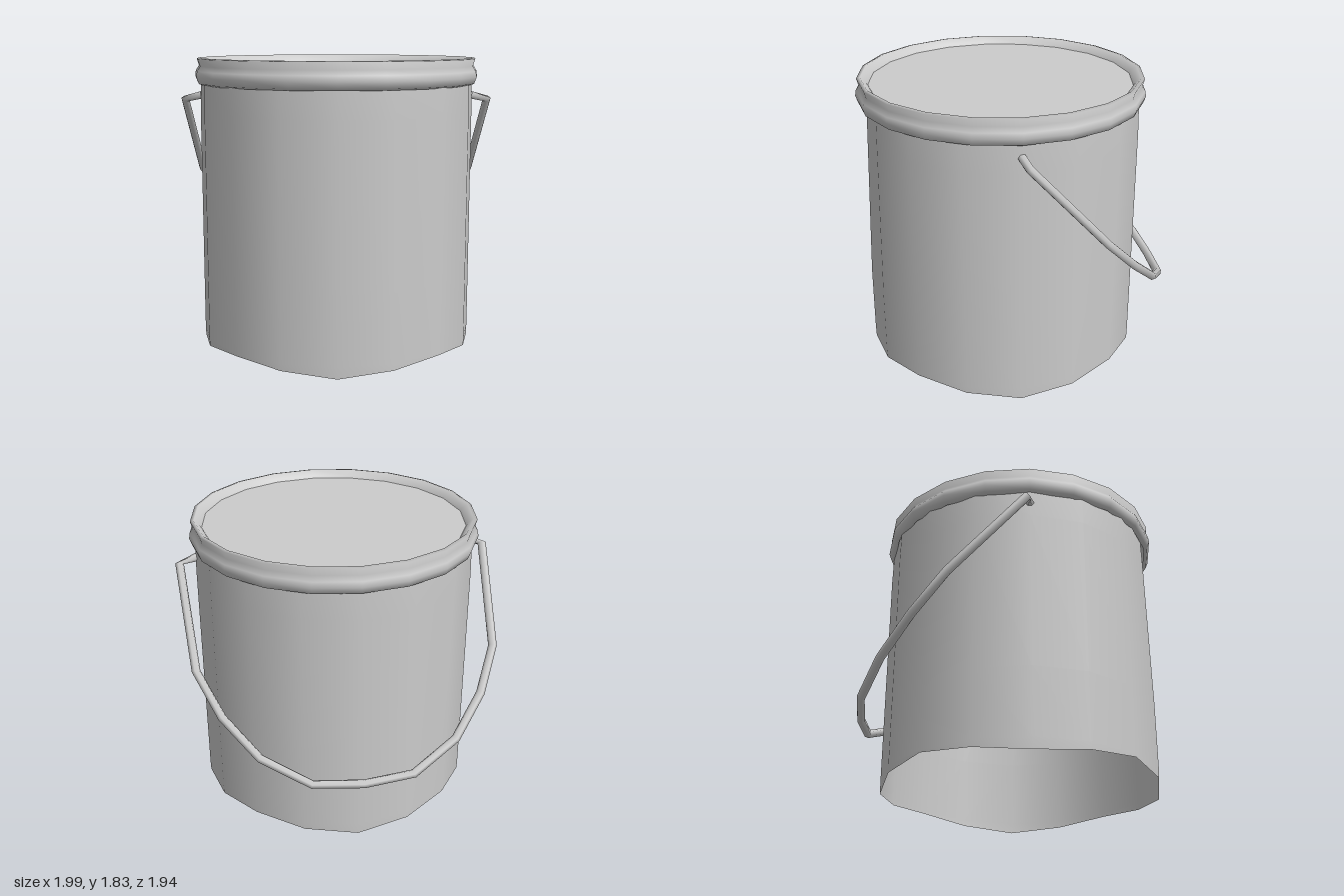
import * as THREE from 'three';

const CZ = 0.07; // the can sits a little forward so the handle can hang behind
const grey = new THREE.MeshStandardMaterial({ color: 0xcccccc, side: THREE.DoubleSide });

function add(group, name, geometry) {
  const mesh = new THREE.Mesh(geometry, grey);
  mesh.name = name;
  group.add(mesh);
  return mesh;
}

function lathe(profile, segments) {
  return new THREE.LatheGeometry(profile.map(([r, y]) => new THREE.Vector2(r, y)), segments);
}

// Straight-sided path whose corners fall exactly on the tube's rings
class PolyPath extends THREE.Curve {
  constructor(points) {
    super();
    this.points = points;
  }
  getPoint(t, target = new THREE.Vector3()) {
    const n = this.points.length - 1;
    const f = Math.min(Math.max(t, 0), 1) * n;
    const i = Math.min(Math.floor(f), n - 1);
    return target.lerpVectors(this.points[i], this.points[i + 1], f - i);
  }
  getPointAt(u, target) { return this.getPoint(u, target); }
  getTangentAt(u, target) { return this.getTangent(u, target); }
}

export function createModel() {
  const model = new THREE.Group();
  model.name = 'bucket';

  // Open-bottomed wall: scalloped lower edge, front slightly drawn in near the top
  const wall = lathe([[0.868, 0], [0.87, 0.075], [0.87, 0.5], [0.87, 1.5], [0.865, 1.7]], 16);
  const p = wall.attributes.position;
  for (let i = 0; i < p.count; i++) {
    const x = p.getX(i), y = p.getY(i), z = p.getZ(i);
    const angle = Math.atan2(x, z);
    if (y < 0.01) p.setY(i, 0.058 * Math.sin(2 * angle) ** 2);
    if (y > 1) p.setZ(i, z - 0.03 * Math.max(0, Math.cos(angle)) ** 8);
  }
  add(model, 'wall', wall).position.z = CZ;

  // Rolled rim with a raised lip that drops to the lid
  add(model, 'rim', lathe([
    [0.86, 1.665], [0.885, 1.675], [0.9, 1.715], [0.895, 1.75],
    [0.875, 1.78], [0.888, 1.825], [0.865, 1.83], [0.83, 1.8], [0.815, 1.775],
  ], 20)).position.z = CZ;

  // Flat recessed lid
  const lid = add(model, 'lid', new THREE.CircleGeometry(0.835, 20));
  lid.rotation.set(-Math.PI / 2, 0, Math.PI / 2);
  lid.position.set(0, 1.783, CZ);

  // Wire handle lying in one tilted plane, hooked into both sides
  const half = [
    [0.86, 0.07], [0.97, 0.045], [0.928, -0.42], [0.8, -0.62], [0.6, -0.8], [0.31, -0.925],
  ];
  const outline = [...half, [0, -0.945], ...half.map(([x, z]) => [-x, z]).reverse()];
  const path = new PolyPath(outline.map(([x, z]) =>
    new THREE.Vector3(x, 1.56 + (z - 0.04) * 1.09, z)));
  add(model, 'handle', new THREE.TubeGeometry(path, outline.length - 1, 0.027, 6));

  return model;
}
